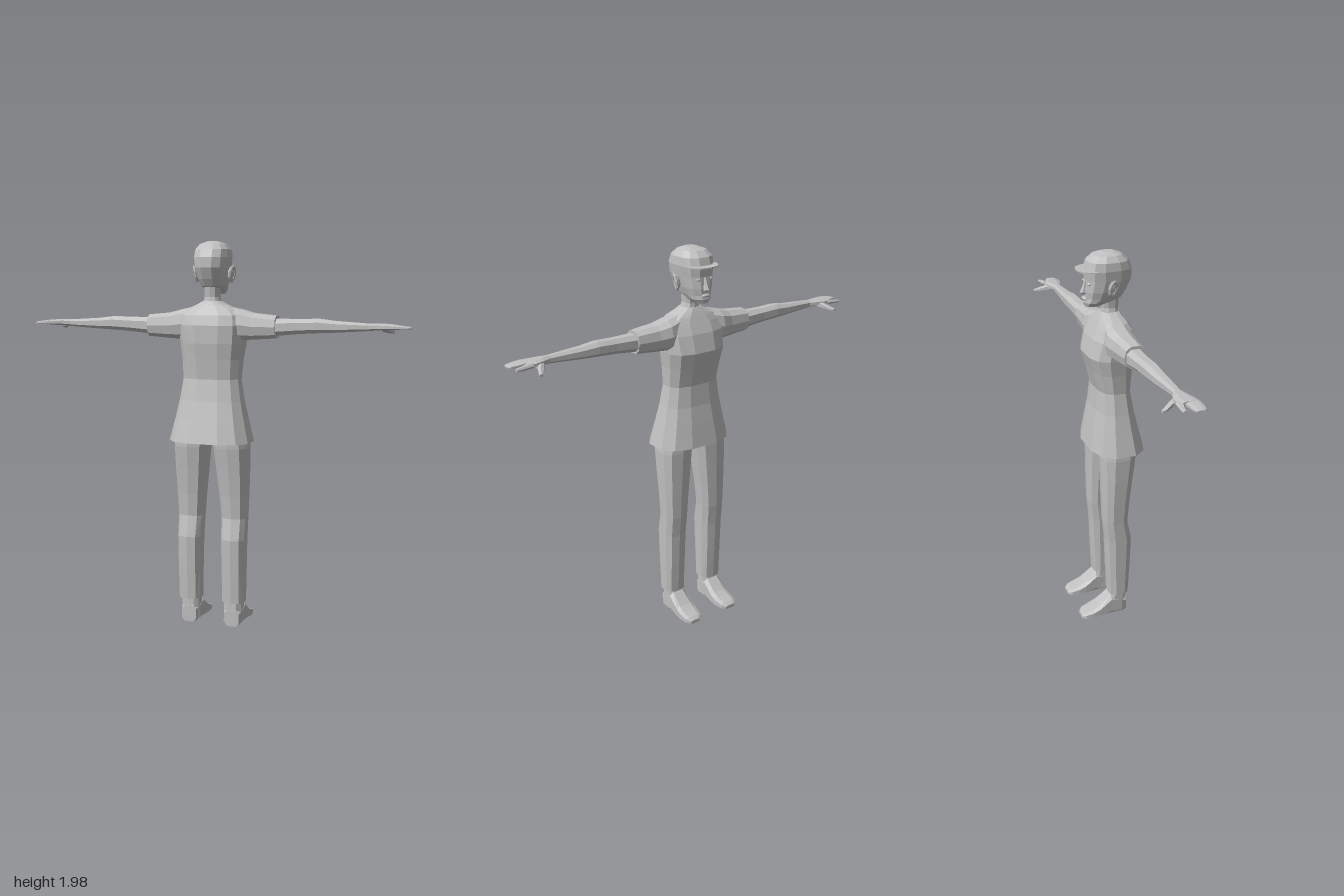
import * as THREE from 'three';

const clay = new THREE.MeshStandardMaterial({ color: 0xc0c0c0, flatShading: true, side: THREE.DoubleSide });
clay.name = 'plain grey';

// Lofts rounded rings along an axis. Each section is [t, uMin, uMax, vMin, vMax],
// where (u, v) is (x, z) for axis y, (y, z) for axis x and (x, y) for axis z.
function loft(axis, sections, { sides = 10, power = 0.8, mirror = false, caps = [true, true] } = {}) {
  const pos = [], index = [];
  const put = (t, u, v) => {
    const p = axis === 'x' ? [t, u, v] : axis === 'y' ? [u, t, v] : [u, v, t];
    if (mirror) p[0] *= -1;
    pos.push(...p);
  };
  const flip = (axis === 'y') !== mirror;
  const tri = (a, b, c) => flip ? index.push(a, c, b) : index.push(a, b, c);
  const soft = (n) => Math.sign(n) * Math.pow(Math.abs(n), power);
  for (const [t, u0, u1, v0, v1] of sections) {
    for (let j = 0; j < sides; j++) {
      const a = ((j + 0.5) / sides) * Math.PI * 2;
      put(t, (u0 + u1) / 2 + (u1 - u0) / 2 * soft(Math.cos(a)), (v0 + v1) / 2 + (v1 - v0) / 2 * soft(Math.sin(a)));
    }
  }
  for (let i = 0; i < sections.length - 1; i++) {
    for (let j = 0; j < sides; j++) {
      const k = (j + 1) % sides, a = i * sides + j, b = i * sides + k;
      tri(a, b, b + sides);
      tri(a, b + sides, a + sides);
    }
  }
  const last = (sections.length - 1) * sides;
  for (let j = 1; j < sides - 1; j++) {
    if (caps[0]) tri(0, j + 1, j);
    if (caps[1]) tri(last, last + j, last + j + 1);
  }
  const g = new THREE.BufferGeometry();
  g.setAttribute('position', new THREE.Float32BufferAttribute(pos, 3));
  g.setIndex(index);
  g.computeVertexNormals();
  return g;
}

// Sections symmetric about x = 0: [y, halfWidth, zMin, zMax]
const centred = (rows) => rows.map(([y, w, z0, z1]) => [y, -w, w, z0, z1]);

export function createModel() {
  const model = new THREE.Group();
  model.name = 'figure';
  const add = (name, geometry, parent = model) => {
    const mesh = new THREE.Mesh(geometry, clay);
    mesh.name = name;
    parent.add(mesh);
    return mesh;
  };

  // Flared tunic, open at the hem
  add('tunic', loft('y', centred([
    [0.98, 0.217, -0.107, 0.182], [1.1, 0.188, -0.087, 0.152], [1.19, 0.168, -0.07, 0.13],
    [1.3, 0.15, -0.06, 0.11], [1.4, 0.157, -0.085, 0.12], [1.48, 0.168, -0.108, 0.13],
    [1.57, 0.175, -0.085, 0.13], [1.62, 0.165, -0.06, 0.115], [1.65, 0.13, -0.045, 0.097],
    [1.672, 0.08, -0.033, 0.08], [1.69, 0.046, -0.022, 0.072],
  ]), { sides: 12, power: 0.75, caps: [false, true] }));
  add('hips', loft('y', centred([[0.965, 0.1, -0.05, 0.1], [1.0, 0.18, -0.06, 0.12], [1.15, 0.15, -0.055, 0.11]])));

  // Neck and head
  add('neck', loft('y', centred([[1.67, 0.05, -0.022, 0.072], [1.71, 0.038, -0.018, 0.066], [1.79, 0.042, -0.03, 0.075]])));
  add('head', loft('y', centred([
    [1.725, 0.032, -0.102, -0.03], [1.745, 0.052, -0.108, 0.03], [1.765, 0.062, -0.104, 0.085],
    [1.8, 0.074, -0.105, 0.106], [1.855, 0.085, -0.1, 0.13], [1.905, 0.092, -0.104, 0.13],
    [1.945, 0.088, -0.092, 0.112], [1.972, 0.066, -0.06, 0.082], [1.985, 0.028, -0.012, 0.045],
  ]), { sides: 12, power: 0.8 }));

  // Cap brim over the forehead
  const brim = new THREE.Shape();
  brim.moveTo(-0.088, 0.045);
  brim.quadraticCurveTo(-0.085, 0.11, -0.045, 0.135);
  brim.quadraticCurveTo(0, 0.155, 0.045, 0.135);
  brim.quadraticCurveTo(0.085, 0.11, 0.088, 0.045);
  const brimGeometry = new THREE.ExtrudeGeometry(brim, { depth: 0.006, bevelEnabled: false, curveSegments: 4 });
  add('capBrim', brimGeometry.rotateX(-Math.PI / 2).translate(0, 1.902, 0));

  // Nose and lips
  add('nose', loft('y', centred([
    [1.785, 0.012, -0.115, -0.09], [1.795, 0.016, -0.128, -0.09], [1.82, 0.01, -0.116, -0.09], [1.85, 0.006, -0.104, -0.09],
  ]), { sides: 6 }));
  add('lips', new THREE.SphereGeometry(1, 8, 4).scale(0.026, 0.01, 0.012).translate(0, 1.764, -0.104));

  for (const mirror of [false, true]) {
    const s = mirror ? -1 : 1;

    // Eye and ear
    add('eye', new THREE.SphereGeometry(1, 8, 4).scale(0.015, 0.007, 0.008).translate(s * 0.036, 1.842, -0.093));
    const ear = new THREE.Group();
    ear.name = 'ear';
    ear.position.set(s * 0.098, 1.825, 0.006);
    ear.rotation.set(0.12, s * -0.35, s * -0.15);
    add('earRim', new THREE.TorusGeometry(0.02, 0.007, 5, 9).rotateY(Math.PI / 2).scale(1, 1.75, 1), ear);
    add('earBowl', new THREE.SphereGeometry(1, 8, 5).scale(0.014, 0.036, 0.02).translate(s * -0.008, 0, 0), ear);
    model.add(ear);

    // Short sleeve and bare arm
    const arm = new THREE.Group();
    arm.name = 'arm';
    model.add(arm);
    add('sleeve', loft('x', [
      [0.06, 1.52, 1.672, -0.04, 0.09], [0.16, 1.495, 1.65, -0.06, 0.09],
      [0.22, 1.498, 1.634, -0.045, 0.085], [0.34, 1.507, 1.622, -0.032, 0.078],
    ], { mirror }), arm);
    add('forearm', loft('x', [
      [0.33, 1.518, 1.608, -0.025, 0.068], [0.45, 1.53, 1.607, -0.02, 0.06], [0.55, 1.536, 1.61, -0.02, 0.058],
      [0.63, 1.54, 1.6, -0.014, 0.054], [0.72, 1.546, 1.594, -0.006, 0.05], [0.81, 1.552, 1.588, 0, 0.044],
    ], { sides: 8, mirror }), arm);

    // Flat hand: palm, joined fingers, index finger and thumb
    add('palm', loft('x', [
      [0.795, 1.552, 1.588, 0, 0.044], [0.84, 1.555, 1.59, -0.02, 0.055], [0.88, 1.556, 1.588, -0.032, 0.068], [0.925, 1.56, 1.585, -0.025, 0.075],
    ], { sides: 8, mirror }), arm);
    add('fingers', loft('x', [
      [0.92, 1.56, 1.585, 0, 0.075], [0.96, 1.56, 1.58, 0.006, 0.074], [0.99, 1.561, 1.576, 0.012, 0.068], [1.0, 1.564, 1.572, 0.02, 0.058],
    ], { sides: 8, mirror }), arm);
    add('indexFinger', loft('x', [
      [0.9, 1.558, 1.584, -0.032, 0.01], [0.95, 1.558, 1.578, -0.035, -0.01], [0.985, 1.56, 1.574, -0.036, -0.018],
    ], { sides: 6, mirror }), arm);
    add('thumb', loft('z', [
      [-0.088, 0.886, 0.904, 1.536, 1.549], [-0.068, 0.872, 0.902, 1.537, 1.556],
      [-0.035, 0.85, 0.885, 1.543, 1.572], [0.01, 0.825, 0.88, 1.553, 1.586],
    ], { sides: 6, mirror }), arm);

    // Trouser leg
    const leg = new THREE.Group();
    leg.name = 'leg';
    model.add(leg);
    add('trouserLeg', loft('y', [
      [0.13, 0.06, 0.18, -0.03, 0.08], [0.3, 0.058, 0.182, -0.038, 0.09], [0.47, 0.055, 0.184, -0.045, 0.097],
      [0.58, 0.052, 0.185, -0.055, 0.074], [0.7, 0.042, 0.19, -0.058, 0.084],
      [0.83, 0.028, 0.195, -0.06, 0.1], [0.95, 0.016, 0.197, -0.063, 0.117], [1.03, 0.005, 0.19, -0.06, 0.12],
    ], { mirror, power: 0.7 }), leg);

    // Ankle and shoe
    add('ankle', loft('y', [
      [0.02, 0.065, 0.168, -0.04, 0.068], [0.15, 0.07, 0.168, -0.02, 0.066],
    ], { sides: 8, mirror, power: 0.7 }), leg);
    add('shoe', loft('z', [
      [-0.184, 0.09, 0.15, 0.002, 0.022], [-0.165, 0.07, 0.168, 0, 0.034], [-0.12, 0.06, 0.175, 0, 0.05],
      [-0.085, 0.06, 0.174, 0, 0.068], [-0.02, 0.065, 0.17, 0, 0.125], [0.04, 0.068, 0.168, 0, 0.1], [0.066, 0.078, 0.16, 0, 0.09],
    ], { sides: 8, mirror, power: 0.55 }), leg);
  }
  return model;
}
